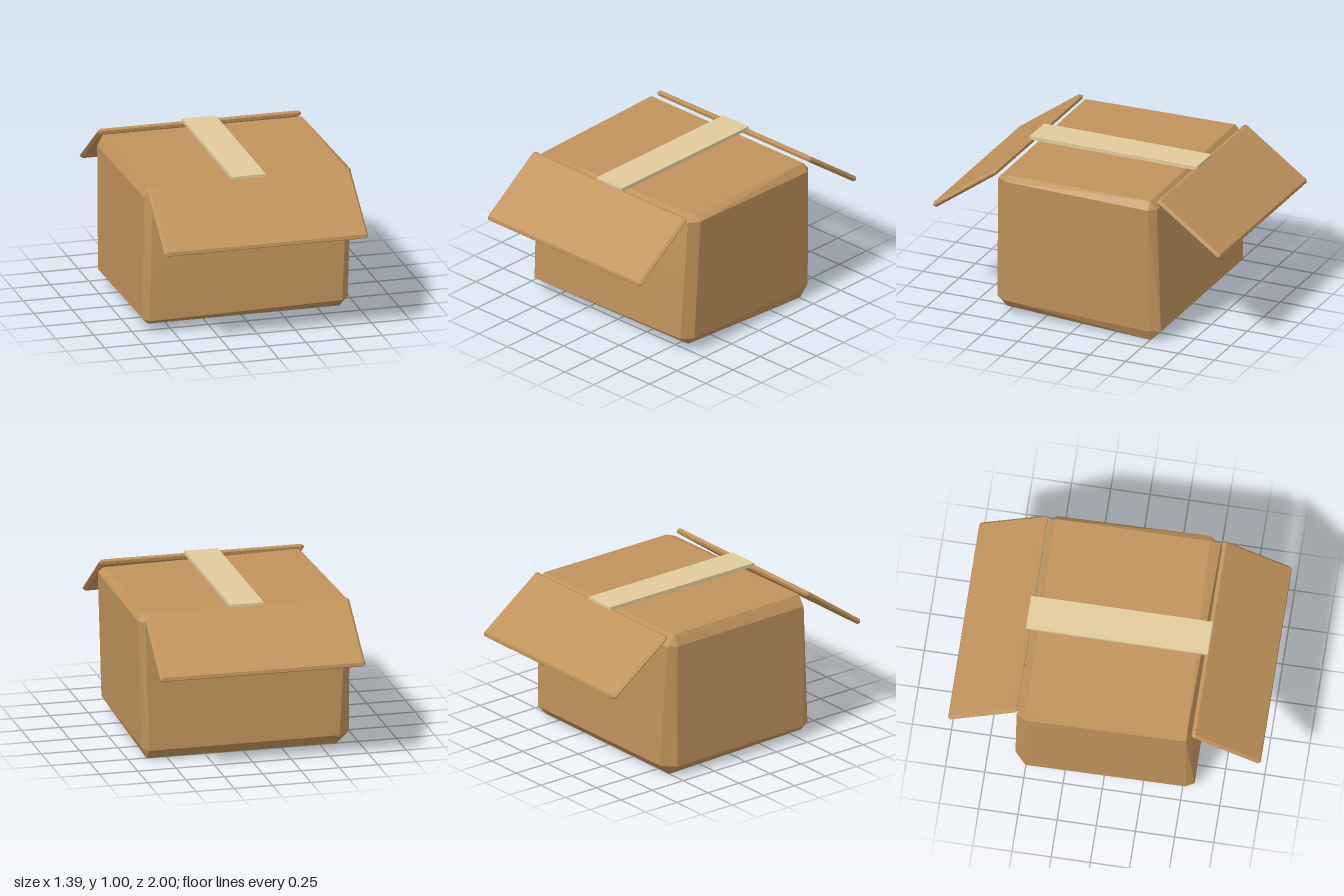
import * as THREE from 'three';
import { toCreasedNormals } from 'three/addons/utils/BufferGeometryUtils.js';
import { ConvexGeometry } from 'three/addons/geometries/ConvexGeometry.js';

// Each corner is [outer x, y, z, inner x, y, z]; it becomes three points,
// one on each face that meets there, so all edges and corners are bevelled.
function bevelledBlock(corners) {
  const points = [];
  for (const [ox, oy, oz, ix, iy, iz] of corners) {
    points.push(
      new THREE.Vector3(ox, iy, iz),
      new THREE.Vector3(ix, oy, iz),
      new THREE.Vector3(ix, iy, oz)
    );
  }
  return toCreasedNormals(new ConvexGeometry(points), 0.3);
}

// Regular bevelled slab centred on the origin
function slab(width, height, depth, bevel) {
  const corners = [];
  const x = width / 2, y = height / 2, z = depth / 2;
  for (const sx of [-1, 1]) for (const sy of [-1, 1]) for (const sz of [-1, 1]) {
    corners.push([sx * x, sy * y, sz * z,
      sx * (x - bevel), sy * (y - bevel), sz * (z - bevel)]);
  }
  return bevelledBlock(corners);
}

export function createModel() {
  const cardboard = new THREE.MeshStandardMaterial({ color: 0xc0925b });
  cardboard.name = 'cardboard';
  const tapeTan = new THREE.MeshStandardMaterial({ color: 0xe0cb9b });
  tapeTan.name = 'tapeTan';

  const group = new THREE.Group();
  group.name = 'cardboardBox';
  const add = (name, geometry, material) => {
    const mesh = new THREE.Mesh(geometry, material);
    mesh.name = name;
    group.add(mesh);
    return mesh;
  };

  // Slightly crooked box body
  add('boxBody', bevelledBlock([
    [-0.685, 0.05, 0.575, -0.655, 0.085, 0.52],
    [0.665, 0.045, 0.57, 0.61, 0.105, 0.50],
    [0.66, 0.0, -0.575, 0.63, 0.07, -0.505],
    [-0.69, 0.0, -0.575, -0.61, 0.075, -0.50],
    [-0.68, 0.968, 0.548, -0.63, 0.90, 0.525],
    [0.695, 0.965, 0.545, 0.65, 0.937, 0.475],
    [0.69, 0.965, -0.555, 0.65, 0.915, -0.51],
    [-0.695, 0.97, -0.56, -0.66, 0.90, -0.50],
  ]), cardboard);

  // Open flaps, sloping down away from the front and back edges
  const flapGeometry = slab(1.335, 0.036, 0.54, 0.015);
  for (const side of [1, -1]) {
    const flap = add(side > 0 ? 'frontFlap' : 'backFlap', flapGeometry, cardboard);
    flap.position.set(-0.005, 0.818, side * 0.777);
    flap.rotation.x = side * 0.625;
  }

  // Tape strip across the top
  const tape = add('tapeStrip', new THREE.BoxGeometry(0.22, 0.024, 1.16), tapeTan);
  tape.position.set(-0.004, 0.986, -0.004);

  return group;
}
